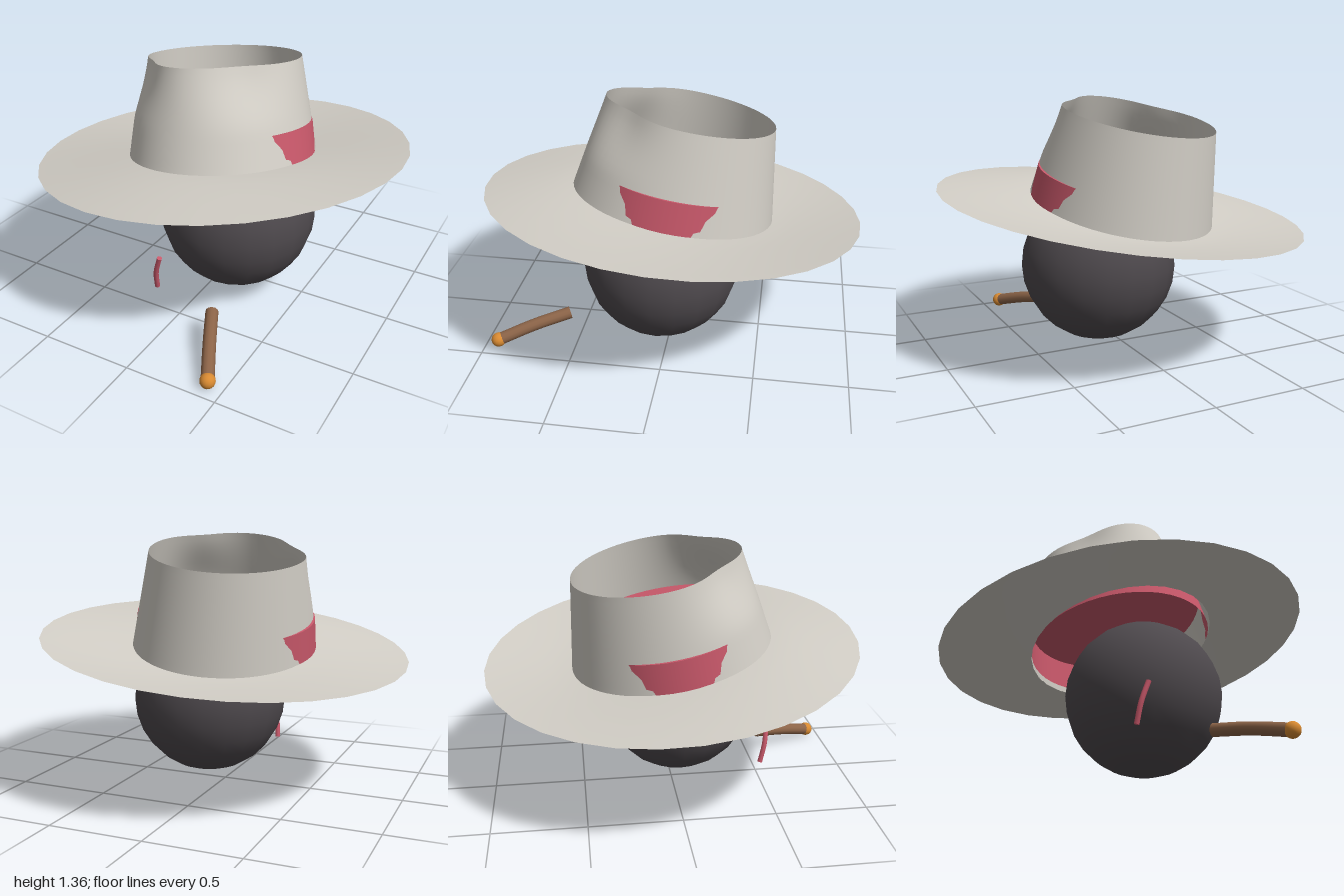
import * as THREE from 'three';

const mat = (name, color, side = THREE.FrontSide) => {
  const m = new THREE.MeshStandardMaterial({ color, side });
  m.name = name;
  return m;
};

// Closed loops of points joined into a smooth surface; point(t, angle) with t from 0 to 1
function loopSurface(rings, segments, point) {
  const positions = [], index = [];
  for (let i = 0; i <= rings; i++) {
    for (let j = 0; j < segments; j++) {
      positions.push(...point(i / rings, (j / segments) * Math.PI * 2));
      if (i === rings) continue;
      const a = i * segments + j, b = i * segments + (j + 1) % segments;
      index.push(a, a + segments, b, b, a + segments, b + segments);
    }
  }
  const g = new THREE.BufferGeometry();
  g.setAttribute('position', new THREE.Float32BufferAttribute(positions, 3));
  g.setIndex(index);
  g.computeVertexNormals();
  return g;
}

export function createModel() {
  const model = new THREE.Group();
  const felt = mat('pale felt', 0xd2cec6, THREE.DoubleSide);
  const red = mat('red', 0xc8586a, THREE.DoubleSide);
  const dark = mat('charcoal', 0x4e494d);
  const brown = mat('brown', 0x8c6448);
  const orange = mat('ember orange', 0xd88a32);

  const add = (parent, name, geometry, material, position = [0, 0, 0]) => {
    const mesh = new THREE.Mesh(geometry, material);
    mesh.name = name;
    mesh.position.set(...position);
    parent.add(mesh);
    return mesh;
  };

  // Tilted hat
  const hat = new THREE.Group();
  hat.name = 'hat';
  hat.position.y = 0.79;
  hat.rotation.set(-0.17, 0, 0.11);
  model.add(hat);

  const baseX = 0.492, baseZ = 0.55, topX = 0.415, topZ = 0.455, crownHeight = 0.505;

  // Brim snaps down at the front and up at the back
  add(hat, 'brim', loopSurface(8, 32, (t, a) => {
    const c = Math.cos(a), s = Math.sin(a);
    return [
      c * THREE.MathUtils.lerp(baseX, 0.995, t),
      -0.095 * s * Math.pow(t, 1.3),
      s * THREE.MathUtils.lerp(baseZ, 1.01, t),
    ];
  }).scale(1, 1, 1), felt);

  // Open crown, pinched on both sides of the front
  add(hat, 'crown', loopSurface(14, 64, (t, a) => {
    const fromFront = Math.abs(Math.atan2(Math.cos(a), Math.sin(a)));
    const dent = Math.exp(-(((fromFront - Math.PI / 4) / 0.42) ** 2));
    const k = 1 - 0.13 * dent * THREE.MathUtils.smoothstep(t, 0.35, 1);
    return [
      Math.cos(a) * THREE.MathUtils.lerp(baseX, topX, t) * k,
      t * crownHeight,
      Math.sin(a) * THREE.MathUtils.lerp(baseZ, topZ, t) * k,
    ];
  }), felt);

  // Hat band, closed on top and open below
  const bandTop = 0.165;
  add(hat, 'hatBand',
    new THREE.CylinderGeometry(0.48, 0.497, bandTop, 48, 1, true), red, [0, bandTop / 2, 0]);
  const lining = add(hat, 'hatLining', new THREE.CircleGeometry(0.48, 48), red, [0, bandTop, 0]);
  lining.rotation.x = -Math.PI / 2;

  // Head
  add(model, 'head', new THREE.SphereGeometry(0.425, 20, 14), dark, [0.115, 0.468, 0.047]);

  // Thin bent scar in front of the face
  const tube = (points, radius, sides) => new THREE.TubeGeometry(
    new THREE.CatmullRomCurve3(points.map((p) => new THREE.Vector3(...p))), 12, radius, sides);
  const capEnds = (name, points, radius, material) => {
    [[0, 1], [points.length - 1, points.length - 2]].forEach(([end, next]) => {
      const cap = add(model, name, new THREE.CircleGeometry(radius, 12), material, points[end]);
      const p = new THREE.Vector3(...points[end]);
      const outward = p.clone().sub(new THREE.Vector3(...points[next])).normalize();
      cap.quaternion.setFromUnitVectors(new THREE.Vector3(0, 0, 1), outward);
    });
  };
  const scar = [[-0.096, 0.348, 0.53], [-0.13, 0.24, 0.516], [-0.143, 0.132, 0.49]];
  add(model, 'scar', tube(scar, 0.014, 8), red);
  capEnds('scarEnd', scar, 0.014, red);

  // Cigar with a glowing tip
  const cigar = [[0.235, 0.14, 0.555], [0.325, 0.1, 0.74], [0.42, 0.045, 0.925]];
  add(model, 'cigar', tube(cigar, 0.034, 12), brown);
  capEnds('cigarEnd', cigar, 0.034, brown);
  add(model, 'ember', new THREE.SphereGeometry(0.04, 16, 12), orange, [0.42, 0.045, 0.925]);

  return model;
}
